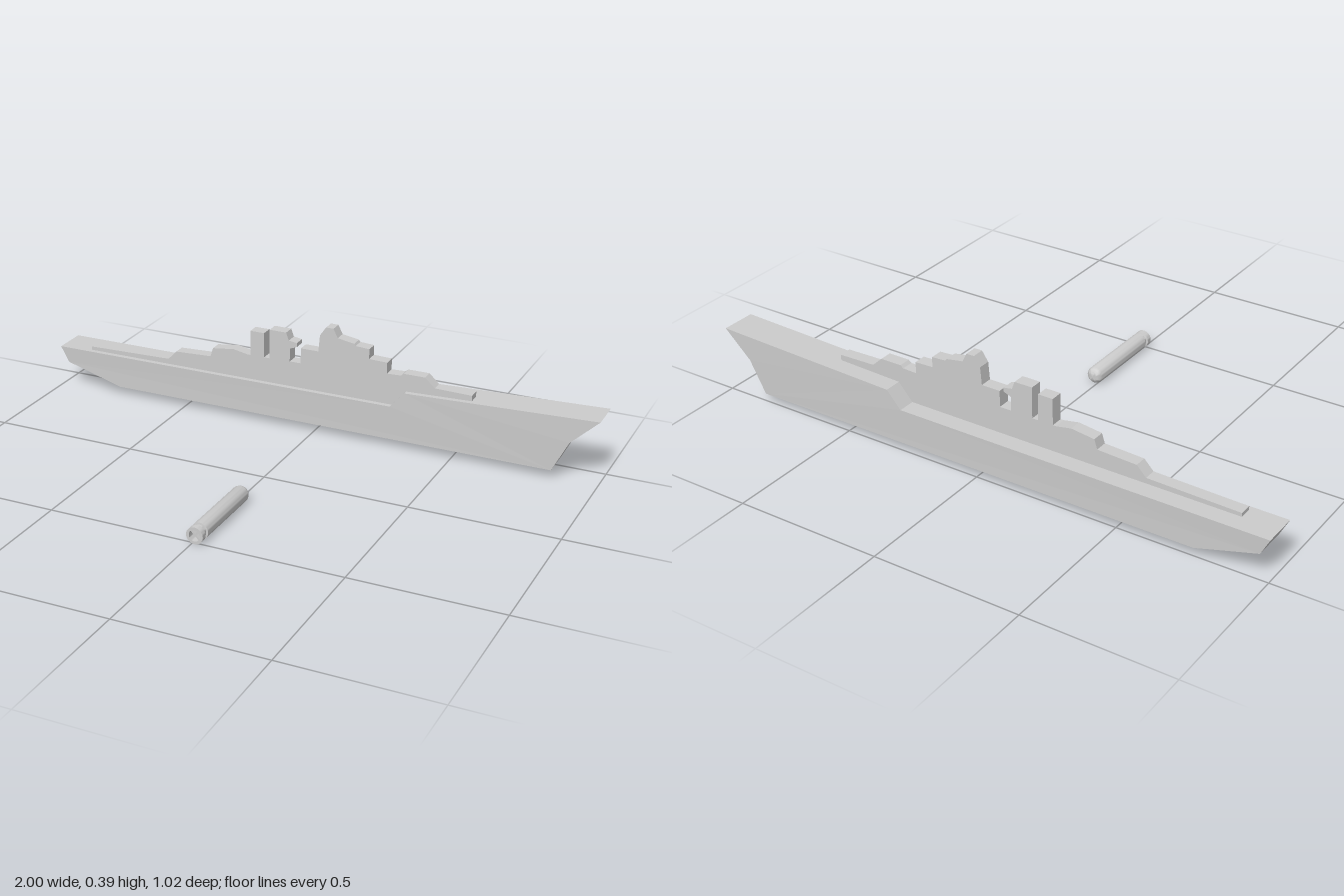
import * as THREE from 'three';
import { toCreasedNormals } from 'three/addons/utils/BufferGeometryUtils.js';

const material = new THREE.MeshStandardMaterial({ color: 0xcccccc });

function part(name, geometry) {
  const mesh = new THREE.Mesh(geometry, material);
  mesh.name = name;
  return mesh;
}

// Side profile (x, y) extruded between two z planes
function slab(points, zBack, zFront) {
  const shape = new THREE.Shape(points.map(([x, y]) => new THREE.Vector2(x, y)));
  return new THREE.ExtrudeGeometry(shape, { depth: zFront - zBack, bevelEnabled: false })
    .translate(0, 0, zBack);
}

function createShip() {
  const ship = new THREE.Group();
  ship.name = 'ship';
  const zMid = -0.447;

  // Hull with raised forecastle, slightly narrower below the bow knuckle
  const hull = slab([
    [-1, 0.147], [-0.97, 0.09], [-0.76, 0.03], [0.845, 0.03], [0.9, 0.14],
    [0.995, 0.23], [0.33, 0.207], [0.28, 0.15],
  ], zMid - 0.06, zMid + 0.06);
  const p = hull.attributes.position;
  for (let i = 0; i < p.count; i++) {
    if (p.getY(i) < 0.1) p.setZ(i, zMid + (p.getZ(i) - zMid) * 0.96);
  }
  hull.computeVertexNormals();
  ship.add(part('hull', hull));

  // Skeg under the stern
  ship.add(part('skeg', slab(
    [[-0.86, 0.05], [-0.86, 0.033], [-0.7, 0.031], [-0.7, 0.055]], zMid - 0.012, zMid + 0.012)));

  // Superstructure silhouette: aft deckhouse, two funnels, bridge, forward steps
  ship.add(part('superstructure', slab([
    [-0.88, 0.14], [-0.88, 0.16], [-0.567, 0.167], [-0.535, 0.2], [-0.4, 0.206],
    [-0.39, 0.238], [-0.31, 0.248], [-0.256, 0.238], [-0.245, 0.238], [-0.245, 0.327],
    [-0.193, 0.327], [-0.193, 0.238], [-0.172, 0.238], [-0.172, 0.343], [-0.11, 0.343],
    [-0.1, 0.316], [-0.07, 0.311], [-0.07, 0.297], [-0.096, 0.287], [-0.096, 0.24],
    [-0.055, 0.24], [-0.055, 0.295], [0.01, 0.295], [0.015, 0.354], [0.037, 0.386],
    [0.064, 0.386], [0.08, 0.355], [0.14, 0.345], [0.145, 0.338], [0.195, 0.335],
    [0.195, 0.3], [0.26, 0.298], [0.26, 0.259], [0.31, 0.261], [0.32, 0.269],
    [0.395, 0.269], [0.43, 0.237], [0.56, 0.234], [0.56, 0.2], [0.33, 0.195],
    [0.28, 0.14],
  ], zMid, zMid + 0.042)));
  return ship;
}

function createTorpedo() {
  const torpedo = new THREE.Group();
  torpedo.name = 'torpedo';

  // Blunt nose, long body, grooved neck, hollow tail ring (radius, z)
  const profile = [
    [0, 0.175], [0.012, 0.176], [0.018, 0.179], [0.025, 0.186], [0.0285, 0.195],
    [0.0285, 0.473], [0.0225, 0.474], [0.0225, 0.487], [0.0285, 0.489],
    [0.0285, 0.508], [0.019, 0.508], [0.019, 0.478], [0, 0.478],
  ].map(([r, z]) => new THREE.Vector2(r, z));
  const body = new THREE.LatheGeometry(profile, 32).rotateX(Math.PI / 2);
  torpedo.add(part('torpedoBody', toCreasedNormals(body, 0.6)));

  // Crossed blades inside the tail ring
  for (const angle of [Math.PI / 4, -Math.PI / 4]) {
    const blade = part('tailBlade', new THREE.BoxGeometry(0.038, 0.005, 0.026));
    blade.position.z = 0.49;
    blade.rotation.z = angle;
    torpedo.add(blade);
  }
  torpedo.position.set(0.01, 0.0285, 0);
  return torpedo;
}

export function createModel() {
  const model = new THREE.Group();
  model.name = 'shipAndTorpedo';
  model.add(createShip(), createTorpedo());
  return model;
}
